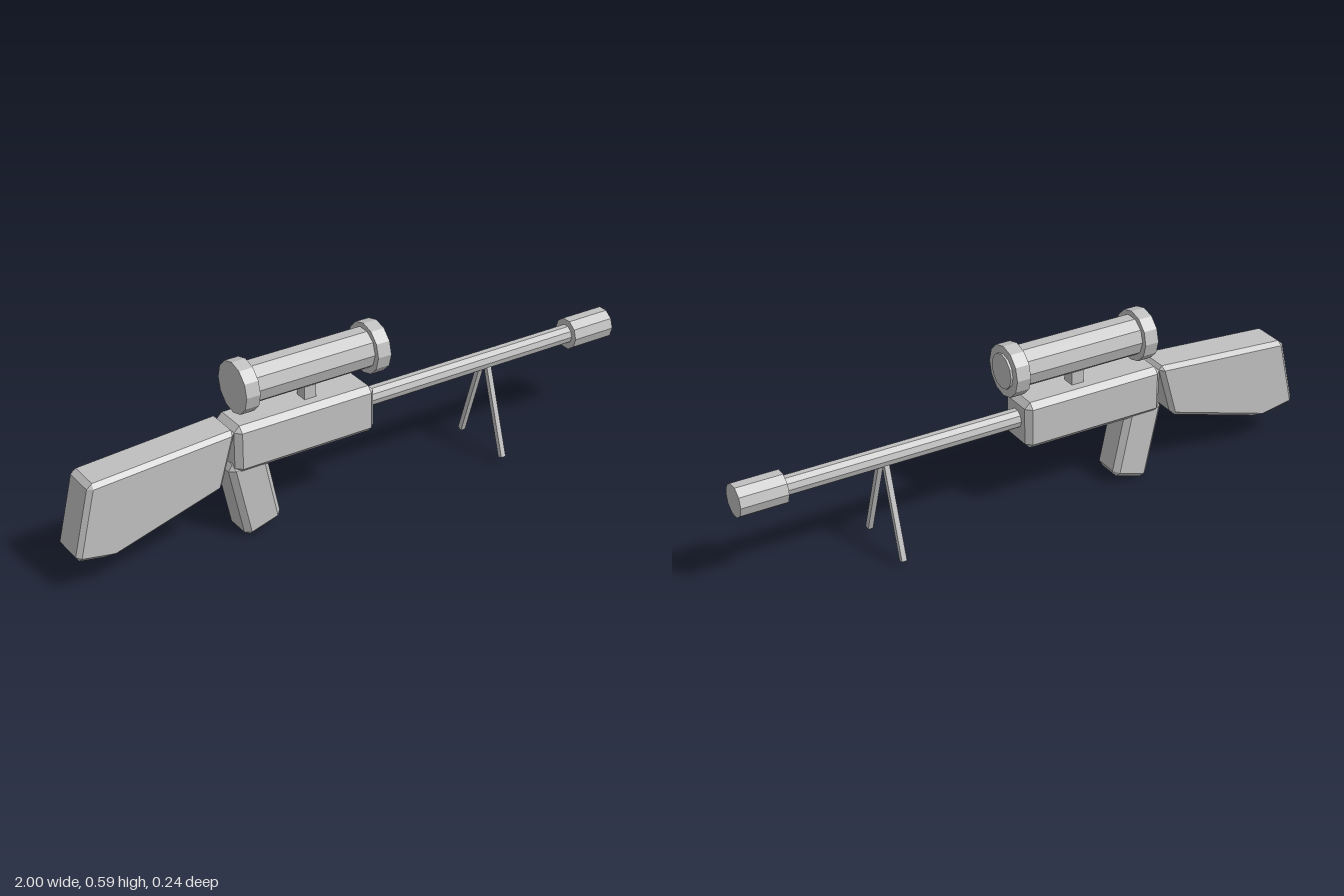
import * as THREE from 'three';
import { ConvexGeometry } from 'three/addons/geometries/ConvexGeometry.js';

export function createModel() {
  const model = new THREE.Group();
  const grey = new THREE.MeshStandardMaterial({ color: 0xc0c0c0, flatShading: true });
  grey.name = 'plain grey';

  const add = (name, geometry) => {
    const mesh = new THREE.Mesh(geometry, grey);
    mesh.name = name;
    model.add(mesh);
    return mesh;
  };

  // Faceted cylinder lying along x
  const rod = (name, x0, x1, y, radius, sides) => {
    const g = new THREE.CylinderGeometry(radius, radius, x1 - x0, sides);
    g.rotateZ(-Math.PI / 2);
    add(name, g).position.set((x0 + x1) / 2, y, 0);
  };

  // Convex side outline given depth along z, every edge chamfered by c
  const chamferedBlock = (name, outline, halfDepth, c) => {
    const corners = outline.map(([x, y]) => new THREE.Vector2(x, y));
    const n = corners.length;
    const points = [];
    corners.forEach((p, i) => {
      const a = corners[(i + n - 1) % n].clone().sub(p).normalize();
      const b = corners[(i + 1) % n].clone().sub(p).normalize();
      const k = c / Math.abs(a.cross(b));
      const alongA = p.clone().addScaledVector(a, k);
      const alongB = p.clone().addScaledVector(b, k);
      const inset = alongA.clone().addScaledVector(b, k);
      for (const s of [-1, 1]) {
        points.push(new THREE.Vector3(alongA.x, alongA.y, s * (halfDepth - c)));
        points.push(new THREE.Vector3(alongB.x, alongB.y, s * (halfDepth - c)));
        points.push(new THREE.Vector3(inset.x, inset.y, s * halfDepth));
      }
    });
    add(name, new ConvexGeometry(points));
  };

  // Body, shoulder stock and grip
  chamferedBlock('receiver', [[-0.457, 0.24], [0.043, 0.24], [0.043, 0.401], [-0.457, 0.401]], 0.071, 0.019);
  chamferedBlock('stock', [[-0.946, 0.363], [-0.452, 0.397], [-0.507, 0.207], [-0.875, 0.097], [-1.003, 0.119]], 0.066, 0.014);
  chamferedBlock('grip', [[-0.477, 0.263], [-0.347, 0.298], [-0.292, 0.034], [-0.42, -0.005]], 0.058, 0.018);

  // Barrel
  rod('barrel', 0.02, 0.86, 0.328, 0.032, 10);
  rod('muzzle', 0.845, 1, 0.328, 0.0535, 10);

  // Scope on its mount
  rod('scopeTube', -0.41, 0.07, 0.507, 0.067, 10);
  rod('scopeRearRing', -0.428, -0.38, 0.505, 0.085, 12);
  rod('scopeFrontRing', 0.04, 0.088, 0.505, 0.085, 12);
  rod('scopeLens', 0.07, 0.095, 0.506, 0.058, 12);
  add('scopeMount', new THREE.BoxGeometry(0.042, 0.08, 0.045)).position.set(-0.168, 0.42, 0);

  // Splayed bipod legs
  for (const side of [-1, 1]) {
    const top = new THREE.Vector3(0.511, 0.315, side * 0.016);
    const foot = new THREE.Vector3(0.511, 0.018, side * 0.113);
    const leg = add(side > 0 ? 'bipodLegFront' : 'bipodLegBack',
      new THREE.BoxGeometry(0.017, top.distanceTo(foot), 0.018));
    leg.position.copy(top).add(foot).multiplyScalar(0.5);
    leg.quaternion.setFromUnitVectors(new THREE.Vector3(0, 1, 0), top.sub(foot).normalize());
  }

  return model;
}
